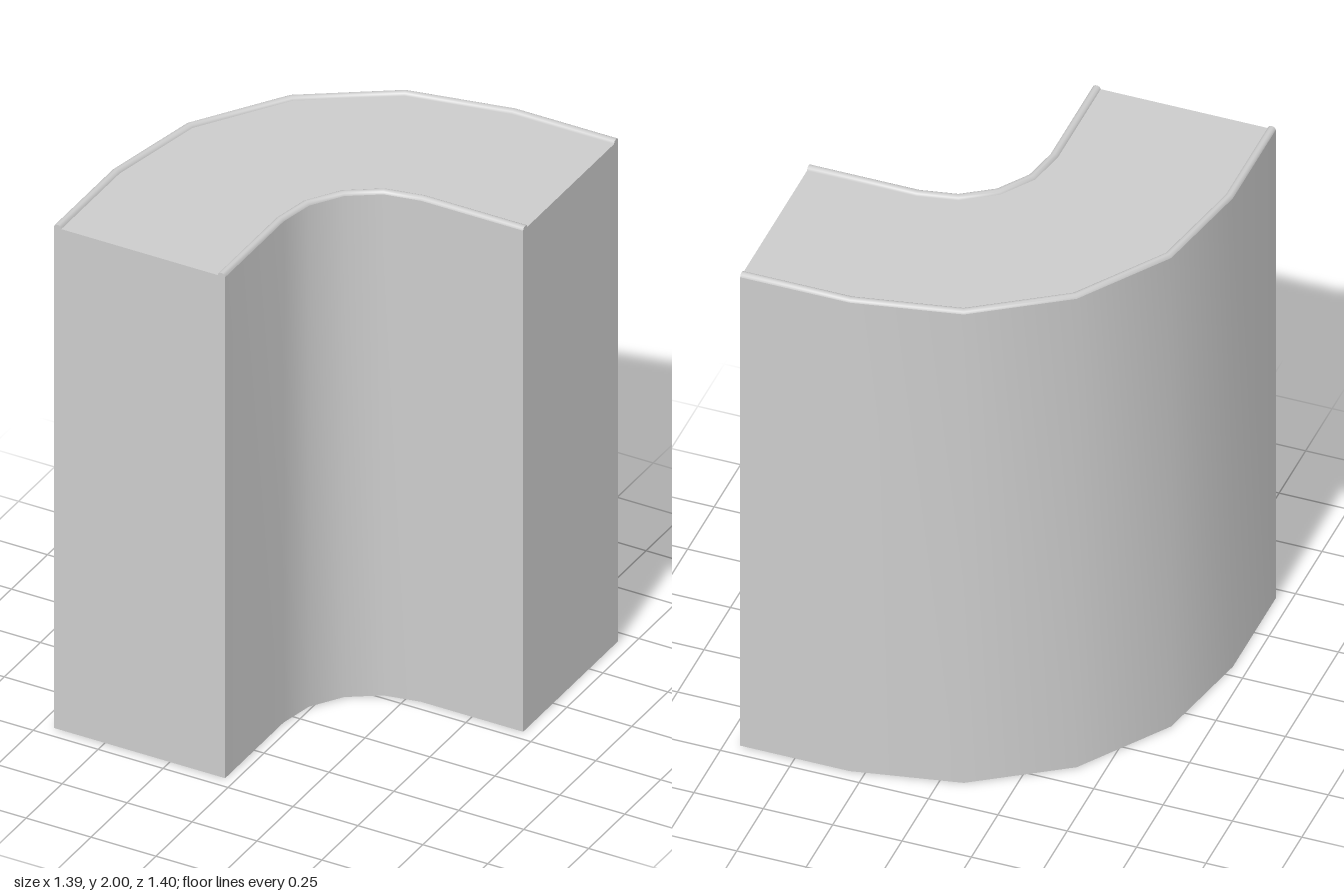
import * as THREE from 'three';

const CX = 0.303, CZ = 0.298;       // centre of the bend
const END_X = 0.697, END_Z = 0.703; // planes of the two open legs
const R_IN = 0.34, R_OUT = 1.0, DECK = 1.988, STEPS = 4;

// Plan path at radius r: straight leg, faceted quarter bend, straight leg
function planPath(r) {
  const pts = [[END_X, CZ - r]];
  for (let i = 0; i <= STEPS; i++) {
    const a = (i / STEPS) * Math.PI / 2;
    pts.push([CX - r * Math.sin(a), CZ - r * Math.cos(a)]);
  }
  pts.push([CX - r, END_Z]);
  return pts;
}

// Sweep a [radius, height] profile along the bend
function sweep(profile) {
  const pos = [], index = [], n = STEPS + 3;
  for (const [r, y] of profile) for (const [x, z] of planPath(r)) pos.push(x, y, z);
  for (let j = 0; j < profile.length - 1; j++) {
    for (let i = 0; i < n - 1; i++) {
      const a = j * n + i, b = a + 1, c = a + n, d = c + 1;
      index.push(a, b, c, b, d, c);
    }
  }
  const g = new THREE.BufferGeometry();
  g.setAttribute('position', new THREE.Float32BufferAttribute(pos, 3));
  g.setIndex(index);
  g.computeVertexNormals();
  return g;
}

// Small rounded rim; offsets run from the wall towards the deck
const bead = [[0, 1.988], [0.003, 1.996], [0.01, 2], [0.018, 2], [0.026, 1.996], [0.029, DECK]];
const outerBead = bead.map(([d, y]) => [R_OUT - d, y]);
const innerBead = bead.map(([d, y]) => [R_IN + d, y]).reverse();

export function createModel() {
  const group = new THREE.Group();
  const material = new THREE.MeshStandardMaterial({ color: 0xcccccc, side: THREE.DoubleSide });
  const add = (name, geometry) => {
    const mesh = new THREE.Mesh(geometry, material);
    mesh.name = name;
    group.add(mesh);
    return mesh;
  };

  // Thin shell, open underneath
  add('outerWall', sweep([[R_OUT, 0], [R_OUT, DECK]]));
  add('outerRim', sweep(outerBead));
  add('topDeck', sweep([outerBead.at(-1), innerBead[0]]));
  add('innerRim', sweep(innerBead));
  add('innerWall', sweep([[R_IN, DECK], [R_IN, 0]]));

  // Flat end walls, following the rim section along their top edge
  const section = [[R_OUT, 0], ...outerBead, ...innerBead, [R_IN, 0]];
  const endWall = (sign) => new THREE.ShapeGeometry(
    new THREE.Shape(section.map(([r, y]) => new THREE.Vector2(sign * r, y))));
  add('frontEndWall', endWall(-1)).position.set(CX, 0, END_Z);
  const side = add('sideEndWall', endWall(1));
  side.rotation.y = Math.PI / 2;
  side.position.set(END_X, 0, CZ);

  return group;
}
